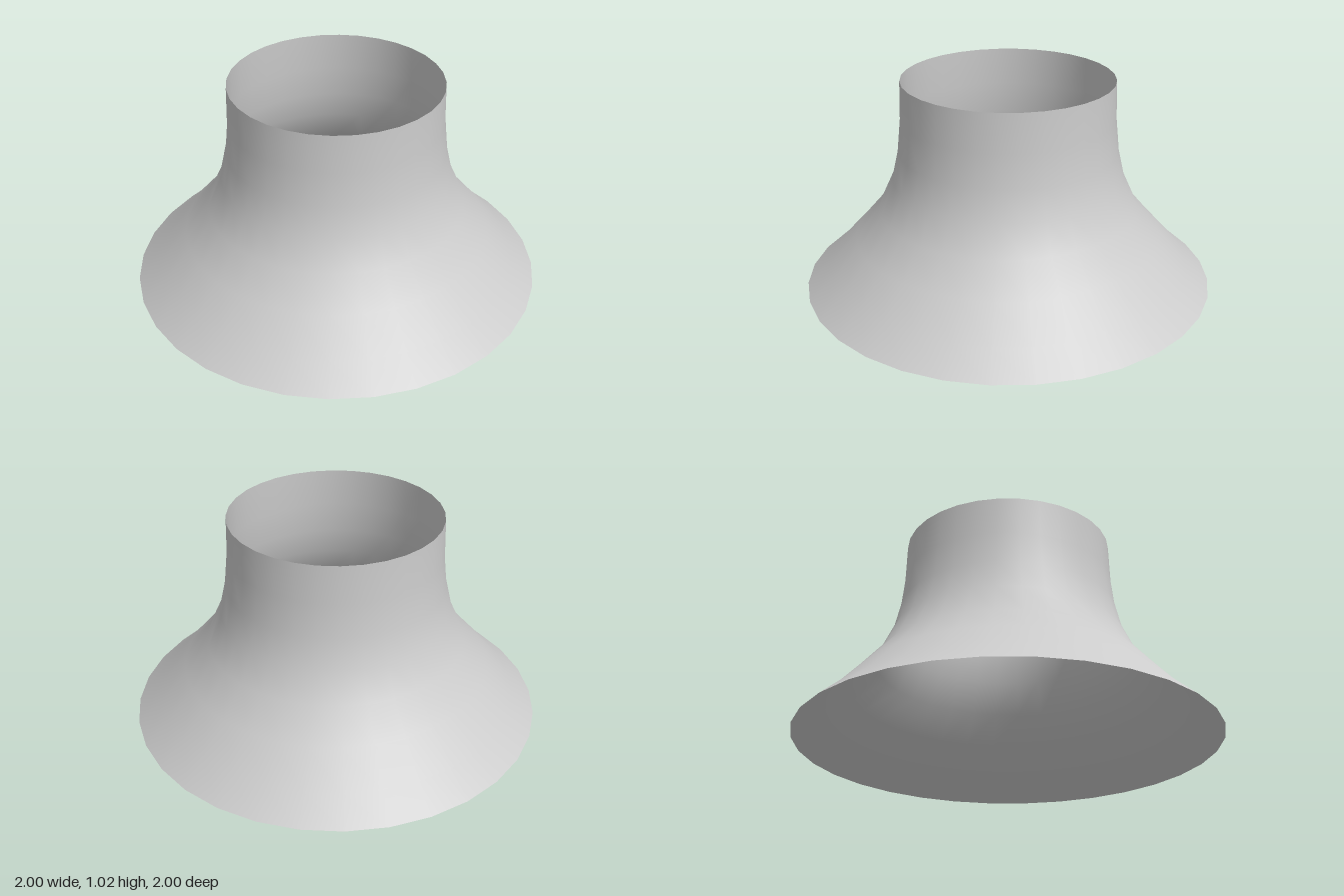
import * as THREE from 'three';

export function createModel() {
  const group = new THREE.Group();
  group.name = 'flaredCollar';

  // Profile (radius, height) from the wide rim up to the neck
  const profile = [
    [1, 0], [0.88, 0.107], [0.75, 0.25], [0.632, 0.387],
    [0.562, 0.54], [0.53, 0.68], [0.513, 0.84], [0.508, 1.025],
  ].map(([r, y]) => new THREE.Vector2(r, y));

  // Open shell, thin wall seen from both sides
  const shell = new THREE.Mesh(
    new THREE.LatheGeometry(profile, 32),
    new THREE.MeshStandardMaterial({ color: 0xcccccc, side: THREE.DoubleSide })
  );
  shell.name = 'flaredShell';
  group.add(shell);

  return group;
}
